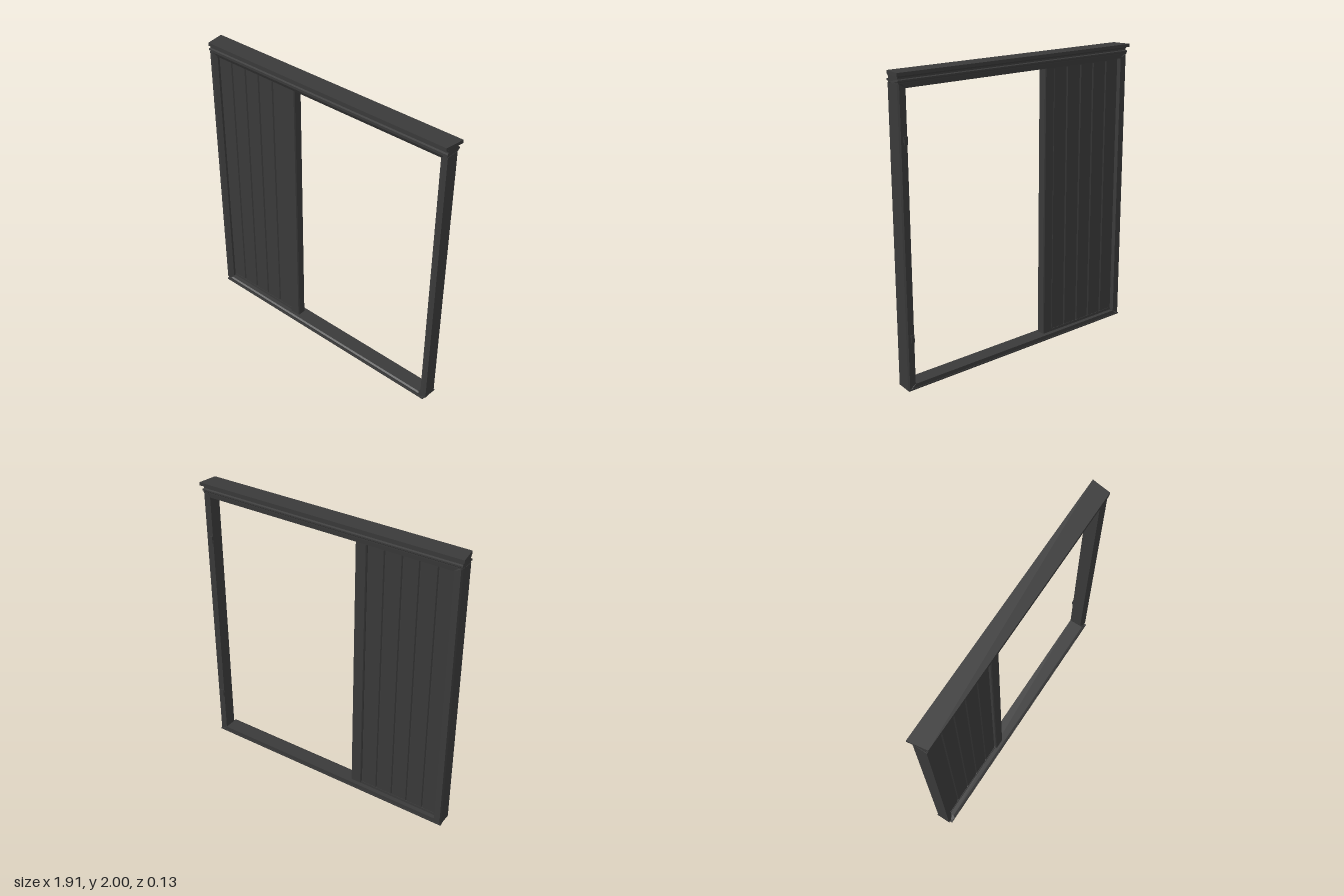
import * as THREE from 'three';

const darkMetal = new THREE.MeshStandardMaterial({ color: 0x3a3a3a });
darkMetal.name = 'dark grey';

const toShape = pts => new THREE.Shape(pts.map(p => new THREE.Vector2(p[0], p[1])));

// Upright prism: outline points are [x, z], running from y0 to y1
function upright(pts, y0, y1) {
  const g = new THREE.ExtrudeGeometry(toShape(pts.map(([x, z]) => [x, -z])), { depth: y1 - y0, bevelEnabled: false });
  return g.rotateX(-Math.PI / 2).translate(0, y0, 0);
}

// Horizontal moulding: outline points are [z, y]; endX(y, z) gives the half length at each point
function moulding(pts, endX) {
  const g = new THREE.ExtrudeGeometry(toShape(pts), { depth: 2, bevelEnabled: false });
  g.rotateY(-Math.PI / 2).translate(1, 0, 0);
  const p = g.attributes.position;
  for (let i = 0; i < p.count; i++) p.setX(i, Math.sign(p.getX(i)) * endX(p.getY(i), p.getZ(i)));
  g.computeVertexNormals();
  return g;
}

export function createModel() {
  const model = new THREE.Group();
  model.name = 'slidingDoorFrame';
  const add = (name, geometry, parent = model) => {
    const mesh = new THREE.Mesh(geometry, darkMetal);
    mesh.name = name;
    parent.add(mesh);
    return mesh;
  };
  const lerp = THREE.MathUtils.mapLinear;

  // Side jambs with splayed inner edge and mitred ends
  for (const s of [1, -1]) {
    const outline = [[0.887, 0.036], [0.918, 0.05], [0.94, 0.05], [0.94, -0.043], [0.932, -0.055], [0.887, -0.052]];
    const g = upright(outline.map(([x, z]) => [s * x, z]), 0, 1);
    const p = g.attributes.position;
    for (let i = 0; i < p.count; i++) {
      const t = Math.min(1, (Math.abs(p.getX(i)) - 0.887) / 0.031);
      p.setY(i, p.getY(i) > 0.5 ? 1.907 + 0.025 * t : 0.036 - 0.026 * t);
    }
    g.computeVertexNormals();
    add(s > 0 ? 'leftJamb' : 'rightJamb', g);
  }

  // Sill: mitred upper part on a thin base
  add('sill', moulding([[-0.052, 0.01], [0.05, 0.01], [0.064, 0.014], [0.064, 0.03], [0.052, 0.036], [-0.052, 0.036]],
    y => lerp(y, 0.01, 0.036, 0.915, 0.884)));
  add('sillBase', moulding([[-0.055, 0], [0.066, 0], [0.066, 0.009], [-0.055, 0.009]],
    (y, z) => 0.935 - 0.1 * z));

  // Lintel: mitred lower part, stepped moulding and flared cap
  add('lintel', moulding([[-0.052, 1.905], [0.036, 1.905], [0.05, 1.932], [-0.055, 1.932]],
    y => lerp(y, 1.905, 1.932, 0.884, 0.915)));
  add('lintelMoulding', moulding([
    [-0.055, 1.932], [0.05, 1.932], [0.05, 1.94], [0.058, 1.944], [0.058, 1.954], [0.046, 1.958], [0.046, 1.968],
    [0.056, 1.979], [-0.056, 1.979], [-0.046, 1.968], [-0.046, 1.958], [-0.058, 1.954], [-0.058, 1.944], [-0.055, 1.94],
  ], y => (y > 1.943 && y < 1.955 ? 0.942 : 0.938)));
  add('cap', moulding([[-0.068, 1.979], [0.064, 1.979], [0.064, 2], [-0.068, 2]],
    (y, z) => lerp(z, -0.068, 0.064, 0.955, 0.935)));

  // Fixed plank panel with bevelled grooves between boards
  const panel = new THREE.Group();
  panel.name = 'plankPanel';
  model.add(panel);
  const seams = [-0.897, -0.775, -0.653, -0.537, -0.415, -0.294];
  const front = 0.02, back = -0.02, b = 0.007;
  for (let i = 0; i < 5; i++) {
    const a = seams[i], c = seams[i + 1];
    add('plank', upright([
      [a, front - b], [a + b, front], [c - b, front], [c, front - b],
      [c, back + b], [c - b, back], [a + b, back], [a, back + b],
    ], 0.045, 1.9), panel);
  }

  // End stile and the rails that hold the planks
  add('endStile', upright([
    [-0.294, 0.03], [-0.288, 0.036], [-0.22, 0.036], [-0.214, 0.03],
    [-0.214, -0.022], [-0.22, -0.028], [-0.288, -0.028], [-0.294, -0.022],
  ], 0.04, 1.907), panel);
  for (const [name, y0, y1] of [['bottomRail', 0.036, 0.054], ['topRail', 1.893, 1.906]]) {
    add(name, upright([[-0.89, 0.023], [-0.292, 0.023], [-0.292, -0.023], [-0.89, -0.023]], y0, y1), panel);
  }

  // Small catches on the back of the open side jamb
  for (const y of [0.35, 1.6]) {
    const mesh = add('catch', new THREE.BoxGeometry(0.025, 0.05, 0.012));
    mesh.position.set(0.901, y, -0.054);
  }
  return model;
}
